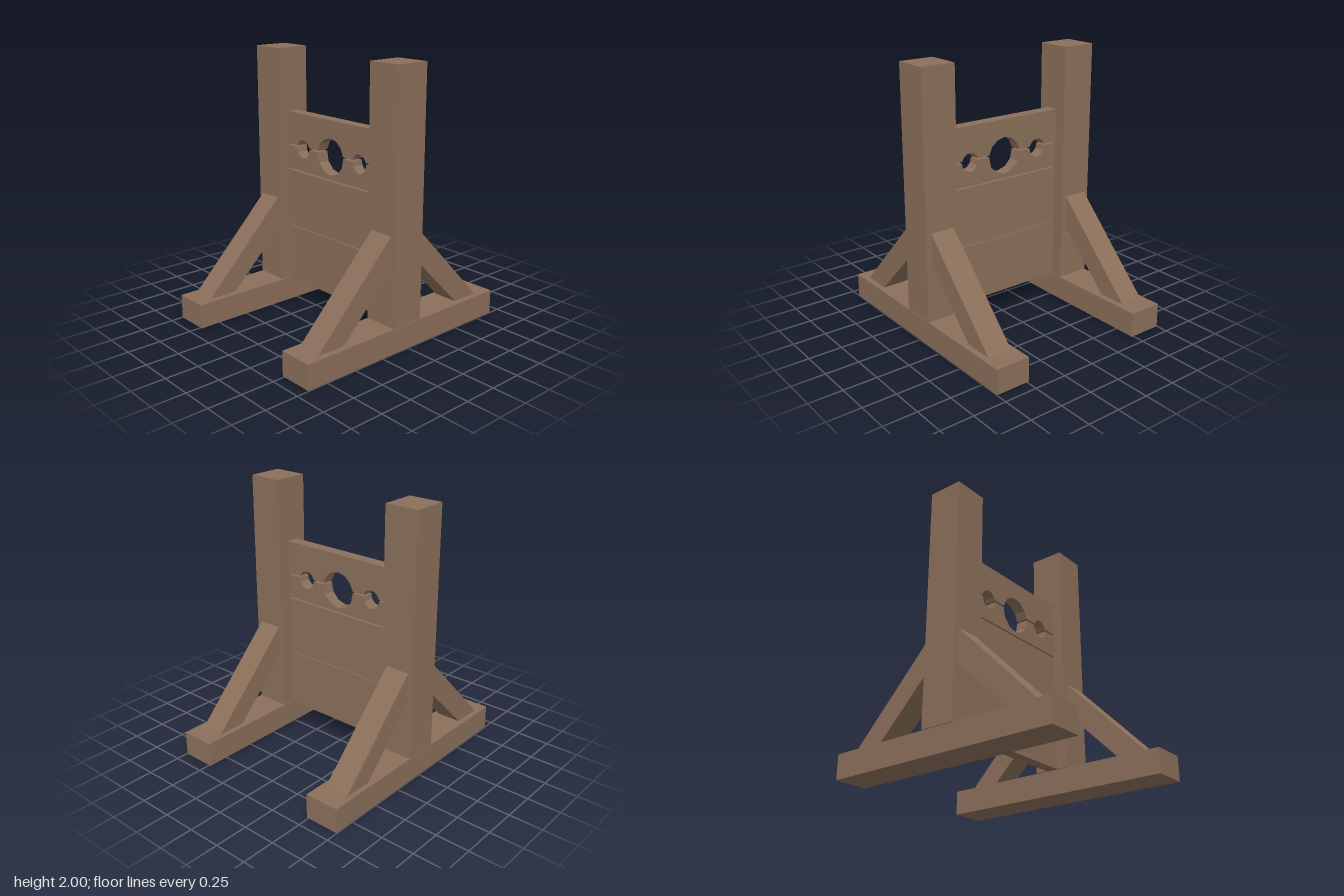
import * as THREE from 'three';

const wood = new THREE.MeshStandardMaterial({ color: 0x8b6f5a });
wood.name = 'brown wood';

const HOLES = [[-0.305, 1.258, 0.07], [0, 1.254, 0.138], [0.305, 1.258, 0.07]];

export function createModel() {
  const group = new THREE.Group();

  const add = (name, geometry) => {
    const mesh = new THREE.Mesh(geometry, wood);
    mesh.name = name;
    group.add(mesh);
  };

  // Box given by its minimum and maximum on each axis
  const box = (name, x0, x1, y0, y1, z0, z1) => {
    const g = new THREE.BoxGeometry(x1 - x0, y1 - y0, z1 - z0);
    add(name, g.translate((x0 + x1) / 2, (y0 + y1) / 2, (z0 + z1) / 2));
  };

  const extrude = (points, depth) => new THREE.ExtrudeGeometry(
    new THREE.Shape(points.map(([x, y]) => new THREE.Vector2(x, y))),
    { depth, bevelEnabled: false });

  // Two uprights on long feet, each with a pair of diagonal braces
  for (const [side, s] of [['front', 1], ['back', -1]]) {
    const z0 = s > 0 ? 0.485 : -0.747;
    const z1 = z0 + 0.262;
    box(side + 'Foot', -0.908, 0.908, 0, 0.184, z0, z1);
    box(side + 'Post', -0.145, 0.118, 0.188, 2, z0, z1);
    const bz = z0 + 0.035;
    add(side + 'LeftBrace', extrude(
      [[0.54, 0.188], [0.76, 0.188], [0.118, 0.85], [0.118, 0.61]], 0.185).translate(0, 0, bz));
    add(side + 'RightBrace', extrude(
      [[-0.145, 0.61], [-0.145, 0.85], [-0.79, 0.188], [-0.565, 0.188]], 0.185).translate(0, 0, bz));
  }

  // Plain lower planks
  box('lowerPlank', -0.065, 0.025, 0.188, 0.629, -0.486, 0.486);
  box('middlePlank', -0.065, 0.025, 0.635, 1.074, -0.486, 0.486);

  // Board whose cut edge carries half of each neck and wrist hole
  const holedBoard = (name, cutY, farY) => {
    const dir = Math.sign(farY - cutY);
    const pts = [[-0.486, farY], [-0.486, cutY]];
    for (const [cx, cy, r] of HOLES) {
      const a = Math.asin((cutY - cy) / r);
      const n = 6;
      for (let i = 0; i <= n; i++) {
        const start = dir > 0 ? Math.PI - a : -Math.PI - a;
        const t = start + (a - start) * i / n;
        pts.push([cx + r * Math.cos(t), cy + r * Math.sin(t)]);
      }
    }
    pts.push([0.486, cutY], [0.486, farY]);
    add(name, extrude(pts, 0.09).rotateY(Math.PI / 2).translate(-0.065, 0, 0));
  };
  holedBoard('lowerStockBoard', 1.265, 1.085);
  holedBoard('upperStockBoard', 1.278, 1.525);

  return group;
}
